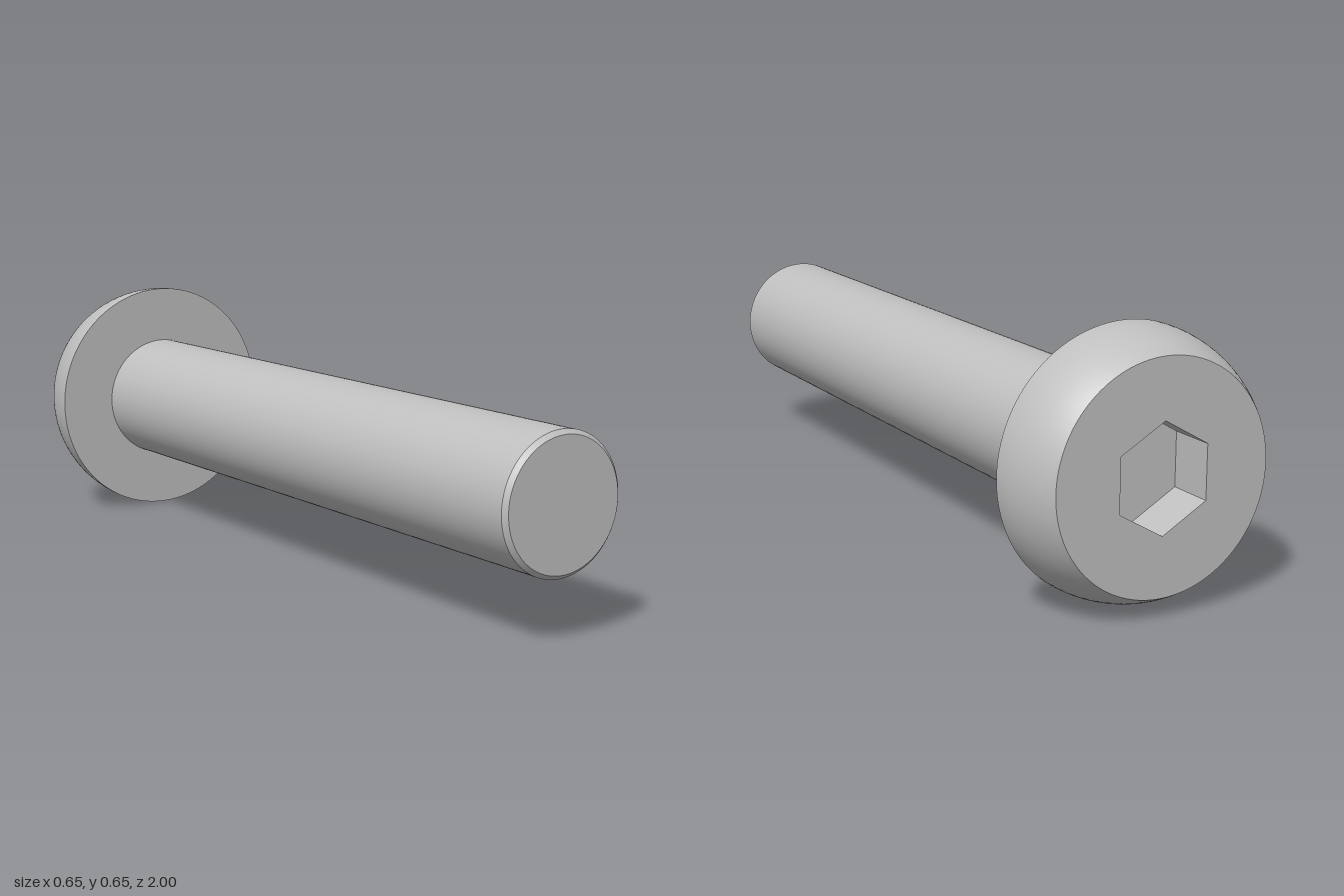
import * as THREE from 'three';
import { toCreasedNormals } from 'three/addons/utils/BufferGeometryUtils.js';

const SEGMENTS = 96;
const HEAD_R = 0.326, SHAFT_R = 0.171, HEX_R = 0.132;
const BACK = -1, SEAT = -0.829, TIP = 1, CHAMFER = 0.011, SOCKET_DEPTH = 0.12;

// Revolve [radius, z] points around the z axis, keeping sharp edges
function revolve(points) {
  const geometry = new THREE.LatheGeometry(points.map(([r, z]) => new THREE.Vector2(r, z)), SEGMENTS);
  return toCreasedNormals(geometry.rotateX(Math.PI / 2), 0.5);
}

export function createModel() {
  const steel = new THREE.MeshStandardMaterial({ color: 0xbfbfbf });
  steel.name = 'steel grey';

  const model = new THREE.Group();
  model.name = 'buttonHeadScrew';
  const add = (name, geometry) => {
    const mesh = new THREE.Mesh(geometry, steel);
    mesh.name = name;
    mesh.position.y = HEAD_R;
    model.add(mesh);
  };

  // Domed head: spherical side centred on the seat plane, plus flat underside
  const headHeight = SEAT - BACK;
  const startAngle = Math.asin(headHeight / HEAD_R);
  const dome = [];
  for (let i = 0; i <= 16; i++) {
    const a = startAngle * (1 - i / 16);
    dome.push([HEAD_R * Math.cos(a), SEAT - HEAD_R * Math.sin(a)]);
  }
  add('headDome', revolve([...dome, [SHAFT_R, SEAT]]));

  // Flat head face with a hexagonal opening, points up and down
  const face = new THREE.Shape().absarc(0, 0, HEAD_R * Math.cos(startAngle), 0, Math.PI * 2);
  const corners = [];
  for (let i = 0; i < 6; i++) {
    const a = Math.PI / 2 - i * Math.PI / 3;
    corners.push(new THREE.Vector2(HEX_R * Math.cos(a), HEX_R * Math.sin(a)));
  }
  face.holes.push(new THREE.Path(corners));
  add('headFace', new THREE.ShapeGeometry(face, SEGMENTS).rotateY(Math.PI).translate(0, 0, BACK));

  // Hex socket: walls mirrored to face inward, and a flat floor
  const walls = new THREE.CylinderGeometry(HEX_R, HEX_R, SOCKET_DEPTH, 6, 1, true)
    .rotateX(Math.PI / 2).toNonIndexed();
  walls.scale(-1, 1, 1).translate(0, 0, BACK + SOCKET_DEPTH / 2);
  add('socketWalls', toCreasedNormals(walls, 0.5));
  add('socketFloor', new THREE.CircleGeometry(HEX_R, 6, Math.PI / 2)
    .rotateY(Math.PI).translate(0, 0, BACK + SOCKET_DEPTH));

  // Plain shaft with a small chamfer at the tip
  add('shaft', revolve([
    [SHAFT_R, SEAT], [SHAFT_R, TIP - CHAMFER], [SHAFT_R - CHAMFER, TIP], [0, TIP],
  ]));

  return model;
}
